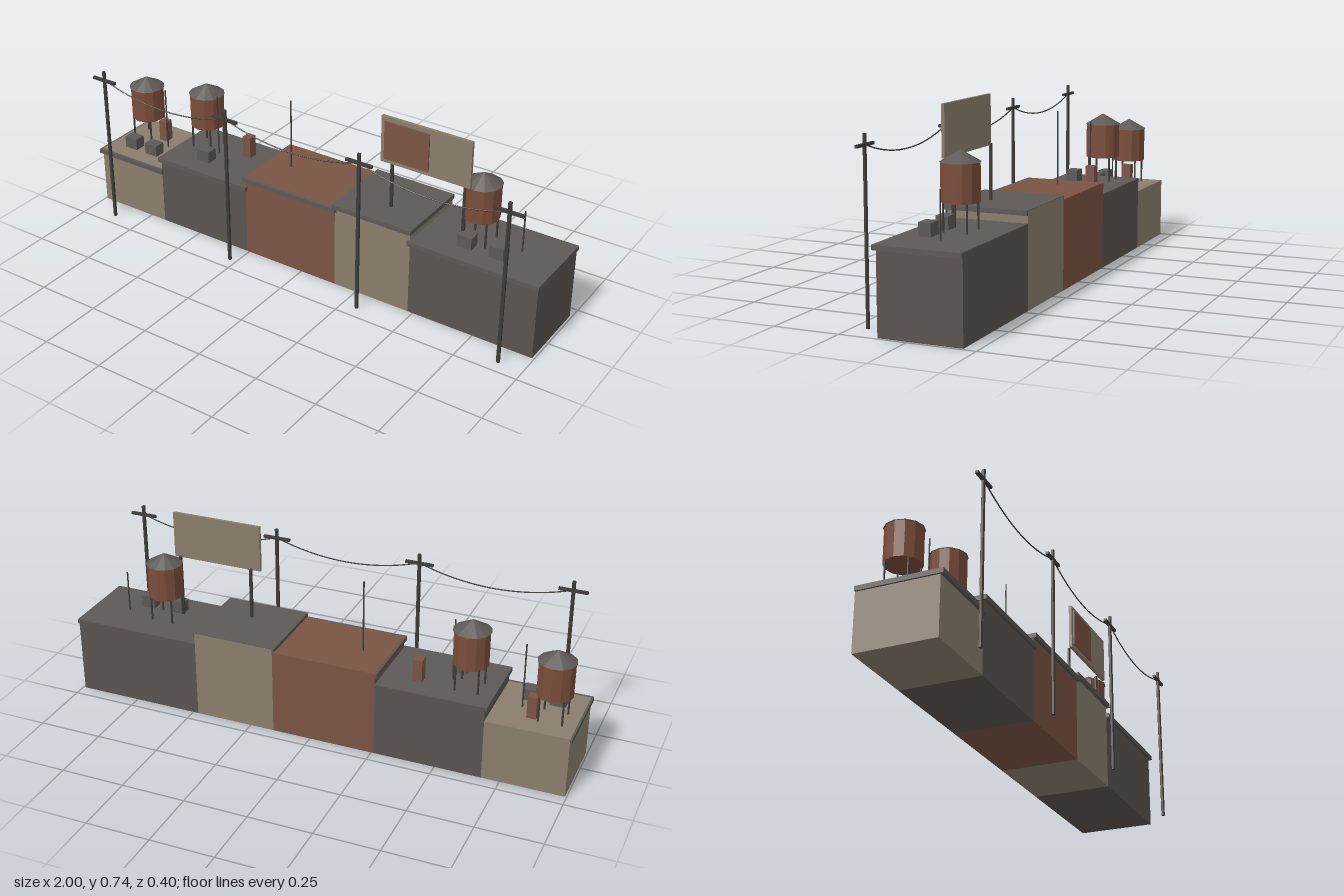
import * as THREE from 'three';

const mat = (name, color, flatShading = false) => {
  const m = new THREE.MeshStandardMaterial({ color });
  m.name = name;
  m.flatShading = flatShading;
  return m;
};

export function createModel() {
  const tan = mat('tan plaster', 0x8a7e6c);
  const gray = mat('gray concrete', 0x5a5450);
  const brick = mat('brown brick', 0x7a5444);
  const wood = mat('tank wood', 0x7a4d3a, true);
  const roofing = mat('roof gray', 0x5c5956, true);
  const metal = mat('dark metal', 0x403d3a, true);

  const model = new THREE.Group();

  const add = (parent, name, geometry, material, x, y, z) => {
    const mesh = new THREE.Mesh(geometry, material);
    mesh.name = name;
    mesh.position.set(x, y, z);
    parent.add(mesh);
    return mesh;
  };
  // box given by its minimum and maximum corners
  const box = (parent, name, material, x0, x1, y0, y1, z0, z1) =>
    add(parent, name, new THREE.BoxGeometry(x1 - x0, y1 - y0, z1 - z0), material,
      (x0 + x1) / 2, (y0 + y1) / 2, (z0 + z1) / 2);
  // upright rod standing on height y0
  const rod = (parent, name, material, x, z, y0, y1, r, sides = 6) =>
    add(parent, name, new THREE.CylinderGeometry(r, r, y1 - y0, sides), material, x, (y0 + y1) / 2, z);

  // Row of buildings, each with an overhanging cornice slab.
  // bare: the wall colour also shows on the roof inside the cornice
  const buildings = [
    { x0: -0.994, x1: -0.68, h: 0.24, wall: tan, bare: true },
    { x0: -0.68, x1: -0.26, h: 0.296, wall: gray },
    { x0: -0.26, x1: 0.153, h: 0.34, wall: brick, bare: true },
    { x0: 0.153, x1: 0.478, h: 0.356, wall: tan },
    { x0: 0.478, x1: 0.991, h: 0.31, wall: gray },
  ];
  for (const { x0, x1, h, wall, bare } of buildings) {
    const building = new THREE.Group();
    building.name = 'building';
    box(building, 'walls', wall, x0, x1, 0, bare ? h + 0.001 : h - 0.002, -0.2, 0.11);
    box(building, 'cornice', roofing, x0 - 0.007, x1 + 0.007, h - 0.018, h, -0.1995, 0.123);
    model.add(building);
  }

  // Water tanks on four legs
  for (const [x, z, base] of [[-0.9, -0.08, 0.24], [-0.584, -0.077, 0.296], [0.681, -0.042, 0.31]]) {
    const tank = new THREE.Group();
    tank.name = 'waterTank';
    tank.position.set(x, base, z);
    for (const sx of [-1, 1])
      for (const sz of [-1, 1])
        rod(tank, 'tankLeg', metal, sx * 0.044, sz * 0.044, 0, 0.102, 0.004);
    add(tank, 'tankBarrel', new THREE.CylinderGeometry(0.068, 0.068, 0.138, 12), wood, 0, 0.169, 0);
    add(tank, 'tankRoof', new THREE.ConeGeometry(0.072, 0.042, 12), roofing, 0, 0.257, 0);
    model.add(tank);
  }

  // Air conditioners
  for (const [x, base] of [[-0.895, 0.24], [-0.791, 0.24], [-0.518, 0.296], [0.663, 0.31], [0.791, 0.31]])
    box(model, 'airConditioner', roofing, x - 0.029, x + 0.029, base, base + 0.048, 0, 0.047);

  // Chimneys
  for (const [x, base] of [[-0.829, 0.24], [-0.395, 0.296]])
    box(model, 'chimney', brick, x - 0.018, x + 0.018, base, base + 0.088, -0.118, -0.08);

  // Rooftop masts
  for (const [x, y0, y1] of [[-0.778, 0.24, 0.5], [-0.511, 0.296, 0.545], [-0.155, 0.34, 0.628], [0.847, 0.31, 0.478]])
    rod(model, 'mast', metal, x, -0.05, y0, y1, 0.003);

  // Billboard on two posts
  const billboard = new THREE.Group();
  billboard.name = 'billboard';
  rod(billboard, 'billboardPost', metal, 0.334, 0.008, 0.356, 0.56, 0.007);
  rod(billboard, 'billboardPost', metal, 0.636, 0.008, 0.31, 0.56, 0.007);
  box(billboard, 'billboardPanel', tan, 0.3, 0.668, 0.55, 0.735, 0.023, 0.035);
  box(billboard, 'billboardPoster', brick, 0.316, 0.5, 0.567, 0.718, 0.035, 0.041);
  model.add(billboard);

  // Utility poles with crossarms
  const poleZ = 0.196;
  const poleX = [-0.874, -0.282, 0.309, 0.901];
  for (const x of poleX) {
    rod(model, 'utilityPole', metal, x, poleZ, 0, 0.655, 0.0075);
    box(model, 'crossarm', metal, x - 0.055, x + 0.055, 0.612, 0.622, poleZ - 0.006, poleZ + 0.006);
  }

  // Sagging wires between neighbouring poles
  for (let i = 0; i < poleX.length - 1; i++) {
    const points = [];
    for (let j = 0; j <= 8; j++) {
      const t = j / 8;
      points.push(new THREE.Vector3(
        THREE.MathUtils.lerp(poleX[i], poleX[i + 1], t), 0.618 - 0.05 * 4 * t * (1 - t), poleZ));
    }
    const wire = new THREE.TubeGeometry(new THREE.CatmullRomCurve3(points), 24, 0.0025, 5);
    add(model, 'wire', wire, metal, 0, 0, 0);
  }

  return model;
}
